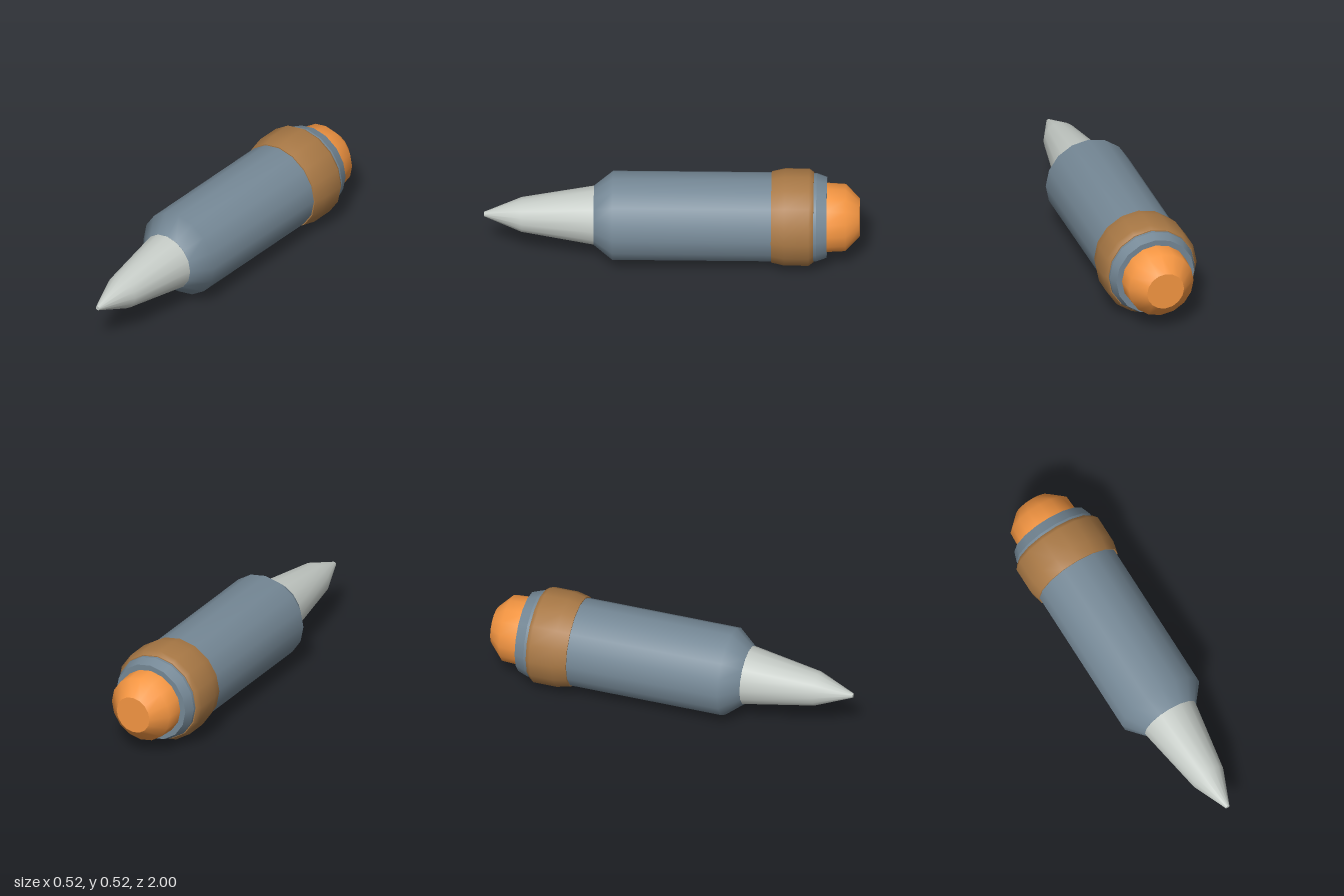
import * as THREE from 'three';
import { mergeGeometries } from 'three/addons/utils/BufferGeometryUtils.js';

const SIDES = 16;
const AXIS_HEIGHT = 0.262;

// Turns smooth profile runs of [radius, z], each listed back to front, about the long axis.
// Separate runs meet in a sharp edge.
function turned(name, color, runs) {
  const parts = runs.map((run) =>
    new THREE.LatheGeometry(run.map(([r, z]) => new THREE.Vector2(r, z)), SIDES));
  const geometry = mergeGeometries(parts);
  geometry.rotateX(Math.PI / 2);
  geometry.translate(0, AXIS_HEIGHT, 0);
  const mesh = new THREE.Mesh(geometry, new THREE.MeshStandardMaterial({ color }));
  mesh.name = name;
  return mesh;
}

export function createModel() {
  const group = new THREE.Group();
  group.name = 'pen';

  // Tapered metal nose with a small flat tip
  group.add(turned('nose', 0xc4cac5, [
    [[0.16, 0.41], [0.094, 0.8], [0.012, 1]],
    [[0.012, 1], [0, 1]],
  ]));

  // Barrel with a sloped front shoulder and a bevelled rear rim
  group.add(turned('barrel', 0x758896, [
    [[0, -0.825], [0.218, -0.825]],
    [[0.218, -0.825], [0.238, -0.77]],
    [[0.238, -0.77], [0.24, -0.6], [0.24, 0.315], [0.16, 0.415]],
    [[0.16, 0.415], [0, 0.415]],
  ]));

  // Raised band near the rear
  group.add(turned('band', 0xa87845, [
    [[0.236, -0.755], [0.243, -0.755]],
    [[0.243, -0.755], [0.262, -0.73], [0.262, -0.6], [0.246, -0.53]],
    [[0.246, -0.53], [0.238, -0.53]],
  ]));

  // Rounded end button
  group.add(turned('endButton', 0xf59642, [
    [[0, -1], [0.103, -1]],
    [[0.103, -1], [0.181, -0.925], [0.187, -0.82]],
  ]));

  return group;
}
